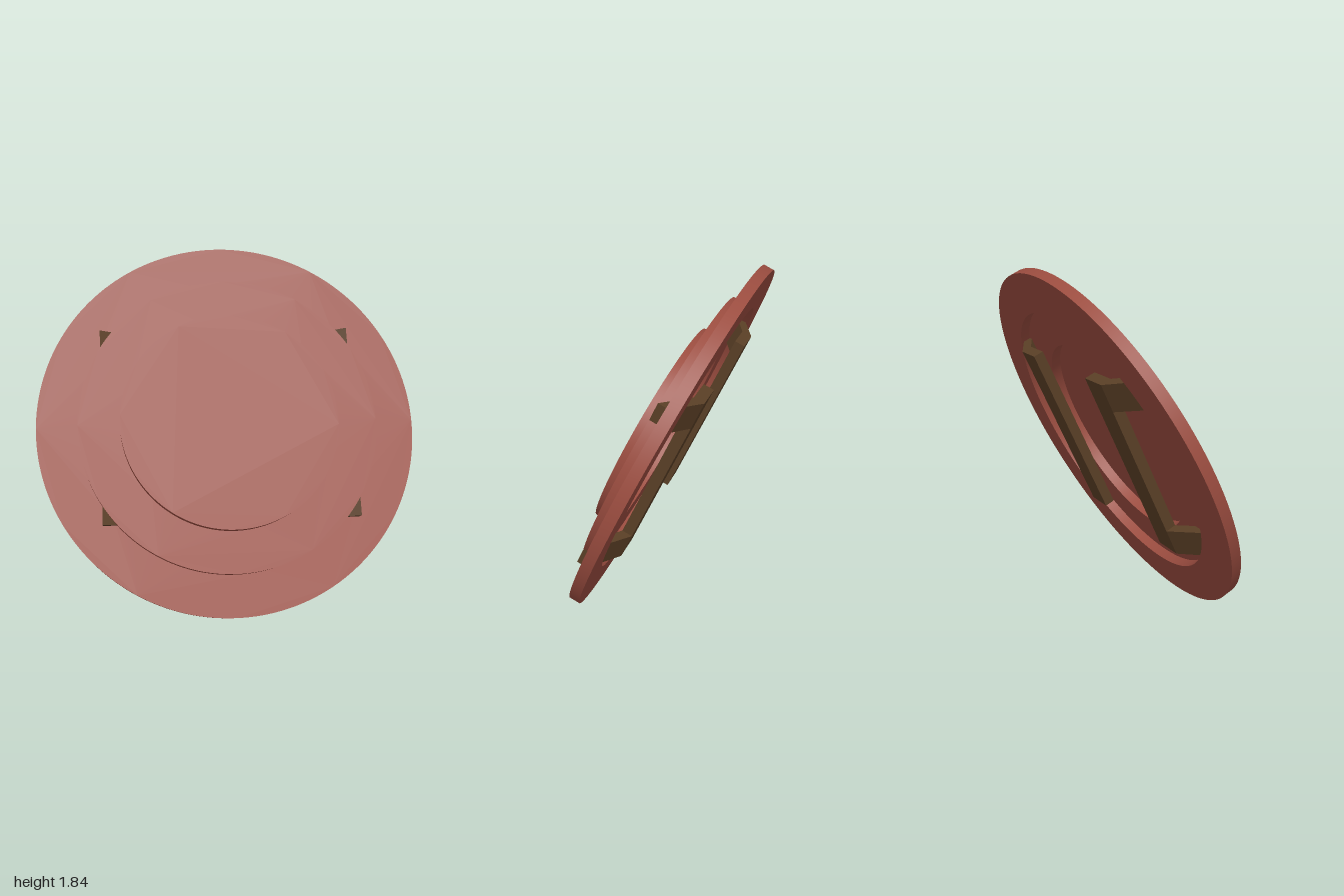
import * as THREE from 'three';
import { toCreasedNormals } from 'three/addons/utils/BufferGeometryUtils.js';

export function createModel() {
  const red = new THREE.MeshStandardMaterial({ color: 0x9a4c3f });
  red.name = 'brick red';
  const brown = new THREE.MeshStandardMaterial({ color: 0x5a3f26 });
  brown.name = 'dark brown';

  const T = 0.056; // thickness shared by every layer and strap
  const TILT = THREE.MathUtils.degToRad(25);

  const model = new THREE.Group();
  model.name = 'roundShield';

  // The shield is built facing +z, then leaned back
  const shield = new THREE.Group();
  shield.name = 'leaningShield';
  shield.rotation.x = -TILT;
  shield.position.y = Math.cos(TILT) + (T / 2) * Math.sin(TILT);
  model.add(shield);

  const add = (name, geometry, material) => {
    const mesh = new THREE.Mesh(geometry, material);
    mesh.name = name;
    shield.add(mesh);
    return mesh;
  };

  // Stepped layers: two open rings and a solid centre disc, hollow at the back
  const layer = (name, outer, inner, z) => {
    const shape = new THREE.Shape().absarc(0, 0, outer, 0, Math.PI * 2, false);
    if (inner > 0) shape.holes.push(new THREE.Path().absarc(0, 0, inner, 0, Math.PI * 2, true));
    const g = new THREE.ExtrudeGeometry(shape, { depth: T, bevelEnabled: false, curveSegments: 96 });
    add(name, toCreasedNormals(g, 0.6), red).position.z = z;
  };
  layer('outerRing', 1, 0.783, -T / 2);
  layer('middleRing', 0.785, 0.567, T / 2);
  layer('centreDisc', 0.569, 0, 1.5 * T);

  // Straps: a flat bar with two legs that slope outwards through the outer ring
  const BAR_IN = 0.3, BAR_OUT = 0.46, LEG_OUT = 0.665;
  const HALF = 0.513, LEG = 0.15;
  const back = -1.5 * T, front = -T / 2, rise = 2 * T - 0.001;

  for (const side of [1, -1]) {
    const label = side > 0 ? 'left' : 'right';
    const bar = add(label + 'HandleBar', new THREE.BoxGeometry(BAR_OUT - BAR_IN, HALF * 2, T), brown);
    bar.position.set(side * (BAR_IN + BAR_OUT) / 2, 0, (back + front) / 2);

    for (const end of [1, -1]) {
      // Sheared box: its outer end is pushed forward
      const g = new THREE.BoxGeometry(LEG_OUT - BAR_OUT, LEG, T);
      const p = g.attributes.position;
      for (let i = 0; i < p.count; i++) {
        if (p.getX(i) * side > 0) p.setZ(i, p.getZ(i) + rise);
      }
      g.computeVertexNormals();
      const leg = add(label + (end > 0 ? 'UpperLeg' : 'LowerLeg'), g, brown);
      leg.position.set(side * (BAR_OUT + LEG_OUT) / 2, end * (HALF - LEG / 2), (back + front) / 2);
    }
  }
  return model;
}
